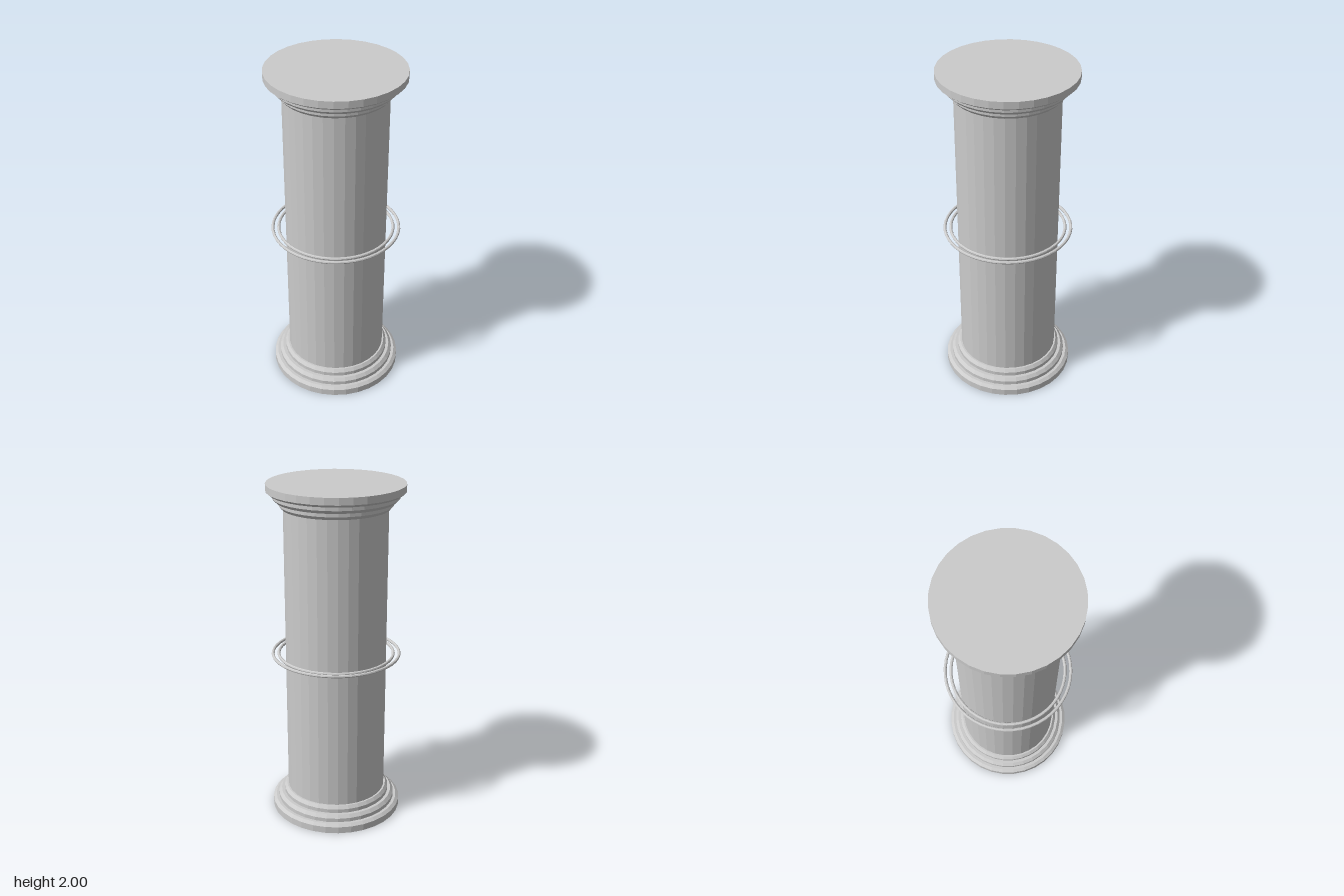
import * as THREE from 'three';

const SIDES = 32;

export function createModel() {
  const group = new THREE.Group();
  const material = new THREE.MeshStandardMaterial({ color: 0xcccccc, flatShading: true });

  const add = (name, geometry, y = 0) => {
    const mesh = new THREE.Mesh(geometry, material);
    mesh.name = name;
    mesh.position.y = y;
    group.add(mesh);
    return mesh;
  };

  // Round shaft between the two mouldings
  add('shaft', new THREE.CylinderGeometry(0.295, 0.295, 1.76, SIDES, 1, true), 1);

  // Three stacked discs, each with a bevelled inner edge: [radius, height]
  const profile = [
    [0, 0], [0.39, 0], [0.39, 0.04], [0.372, 0.054],
    [0.355, 0.054], [0.355, 0.077], [0.338, 0.095],
    [0.32, 0.095], [0.32, 0.118], [0.305, 0.136], [0.29, 0.136],
  ];
  const lathe = (points) =>
    new THREE.LatheGeometry(points.map(([r, y]) => new THREE.Vector2(r, y)), SIDES);
  add('base', lathe(profile));
  add('capital', lathe(profile.map(([r, y]) => [r, 2 - y]).reverse()));

  // Two thin concentric rings floating around the middle of the shaft
  for (const [name, radius] of [['innerRing', 0.336], ['outerRing', 0.37]]) {
    const ring = add(name, new THREE.TorusGeometry(radius, 0.009, 8, 48), 1);
    ring.rotation.x = Math.PI / 2;
  }

  return group;
}
